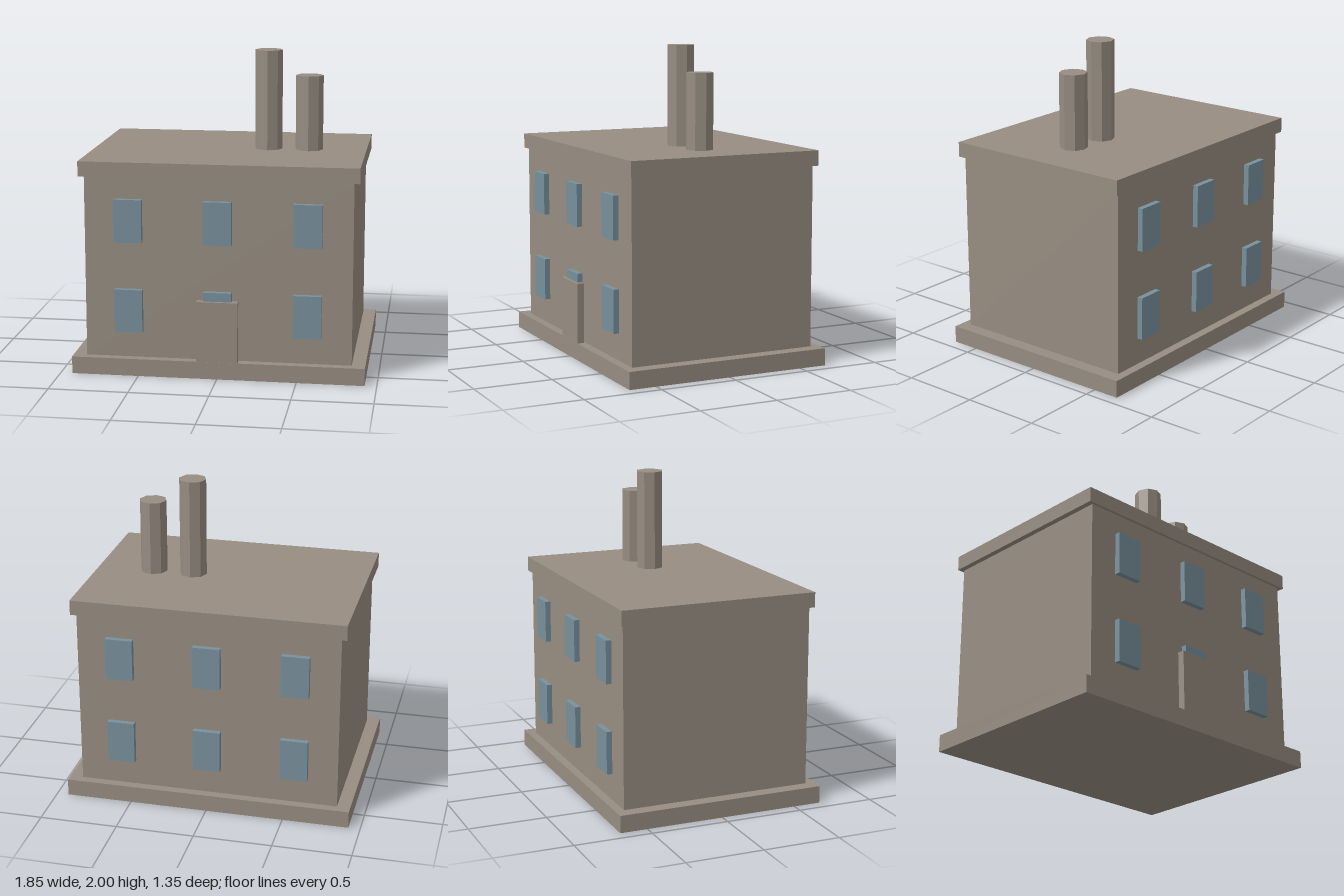
import * as THREE from 'three';

export function createModel() {
  const model = new THREE.Group();
  model.name = 'factoryBuilding';

  const stone = new THREE.MeshStandardMaterial({ color: 0x978d81 });
  stone.name = 'stone';
  const glass = new THREE.MeshStandardMaterial({ color: 0x78909c });
  glass.name = 'glass';
  stone.flatShading = true;

  // Box given by its size, its centre in x and z, and its bottom height
  function box(name, material, [w, h, d], [x, bottom, z]) {
    const mesh = new THREE.Mesh(new THREE.BoxGeometry(w, h, d), material);
    mesh.name = name;
    mesh.position.set(x, bottom + h / 2, z);
    model.add(mesh);
  }

  // Plinth, walls and overhanging roof slab
  box('plinth', stone, [1.85, 0.11, 1.354], [0, 0, 0]);
  box('walls', stone, [1.68, 1.155, 1.24], [0, 0.11, 0]);
  box('roof', stone, [1.75, 0.096, 1.28], [0, 1.264, 0]);

  // Door slab standing just clear of the front wall
  box('door', stone, [0.26, 0.387, 0.045], [0, 0.11, 0.6525]);

  // Two rows of three windows on the front and back
  for (const side of [1, -1]) {
    for (const bottom of [0.28, 0.855]) {
      for (const x of [-0.562, 0, 0.562]) {
        box('window', glass, [0.176, 0.273, 0.036], [x, bottom, side * 0.638]);
      }
    }
  }

  // Eight-sided chimneys
  for (const [name, x, top] of [['tallChimney', 0.243, 2], ['shortChimney', 0.506, 1.84]]) {
    const height = top - 1.36;
    const chimney = new THREE.Mesh(new THREE.CylinderGeometry(0.0885, 0.0885, height, 8), stone);
    chimney.name = name;
    chimney.position.set(x, 1.36 + height / 2, 0);
    model.add(chimney);
  }

  return model;
}
